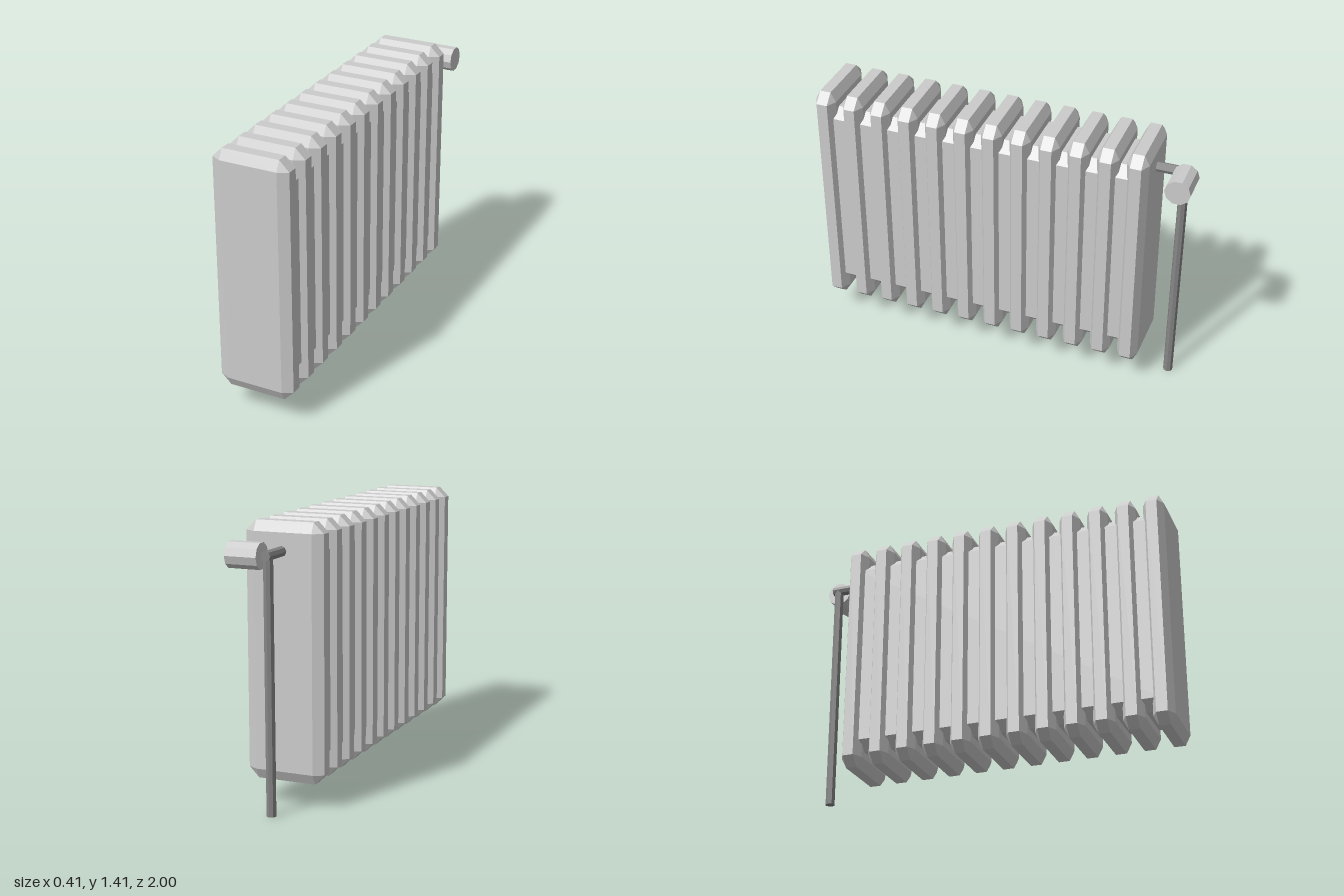
import * as THREE from 'three';
import { ConvexGeometry } from 'three/addons/geometries/ConvexGeometry.js';

// Box with every edge chamfered: h = half sizes, b = chamfer along each axis
function chamferBox(h, b) {
  const points = [];
  for (const sx of [-1, 1]) for (const sy of [-1, 1]) for (const sz of [-1, 1]) {
    for (let keep = 0; keep < 3; keep++) {
      const p = [0, 1, 2].map((i) => (i === keep ? h[i] : h[i] - b[i]));
      points.push(new THREE.Vector3(p[0] * sx, p[1] * sy, p[2] * sz));
    }
  }
  return new ConvexGeometry(points);
}

// Straight faceted rod between two points
function rod(name, from, to, radius, sides, material) {
  const a = new THREE.Vector3(...from), b = new THREE.Vector3(...to);
  const dir = b.clone().sub(a);
  const mesh = new THREE.Mesh(new THREE.CylinderGeometry(radius, radius, dir.length(), sides), material);
  mesh.name = name;
  mesh.position.copy(a).add(b).multiplyScalar(0.5);
  mesh.quaternion.setFromUnitVectors(new THREE.Vector3(0, 1, 0), dir.normalize());
  return mesh;
}

export function createModel() {
  const model = new THREE.Group();
  model.name = 'radiator';
  const enamel = new THREE.MeshStandardMaterial({ color: 0xcccccc });
  enamel.name = 'light grey enamel';
  enamel.flatShading = true;
  const metal = new THREE.MeshStandardMaterial({ color: 0x868686 });
  metal.name = 'dark grey metal';
  metal.flatShading = true;

  // Row of twelve chamfered fins
  const fins = new THREE.Group();
  fins.name = 'fins';
  const finGeometry = chamferBox([0.203, 0.64, 0.056], [0.052, 0.052, 0.027]);
  for (let i = 0; i < 12; i++) {
    const fin = new THREE.Mesh(finGeometry, enamel);
    fin.name = 'fin';
    fin.position.set(0, 0.77, 0.944 - i * 0.1515);
    fins.add(fin);
  }
  model.add(fins);

  // Recessed core joining the fins
  const core = new THREE.Mesh(chamferBox([0.173, 0.55, 0.85], [0.052, 0.052, 0.027]), enamel);
  core.name = 'core';
  core.position.set(0, 0.77, 0.111);
  model.add(core);

  // Supply pipes and valve knob at the back
  model.add(
    rod('inletPipe', [0.005, 1.268, -0.76], [0.005, 1.268, -0.95], 0.026, 8, metal),
    rod('standPipe', [0.005, 0, -0.914], [0.005, 1.27, -0.92], 0.025, 8, metal),
    rod('valveKnob', [0.03, 1.266, -0.933], [0.195, 1.266, -0.933], 0.066, 10, enamel),
  );
  return model;
}
